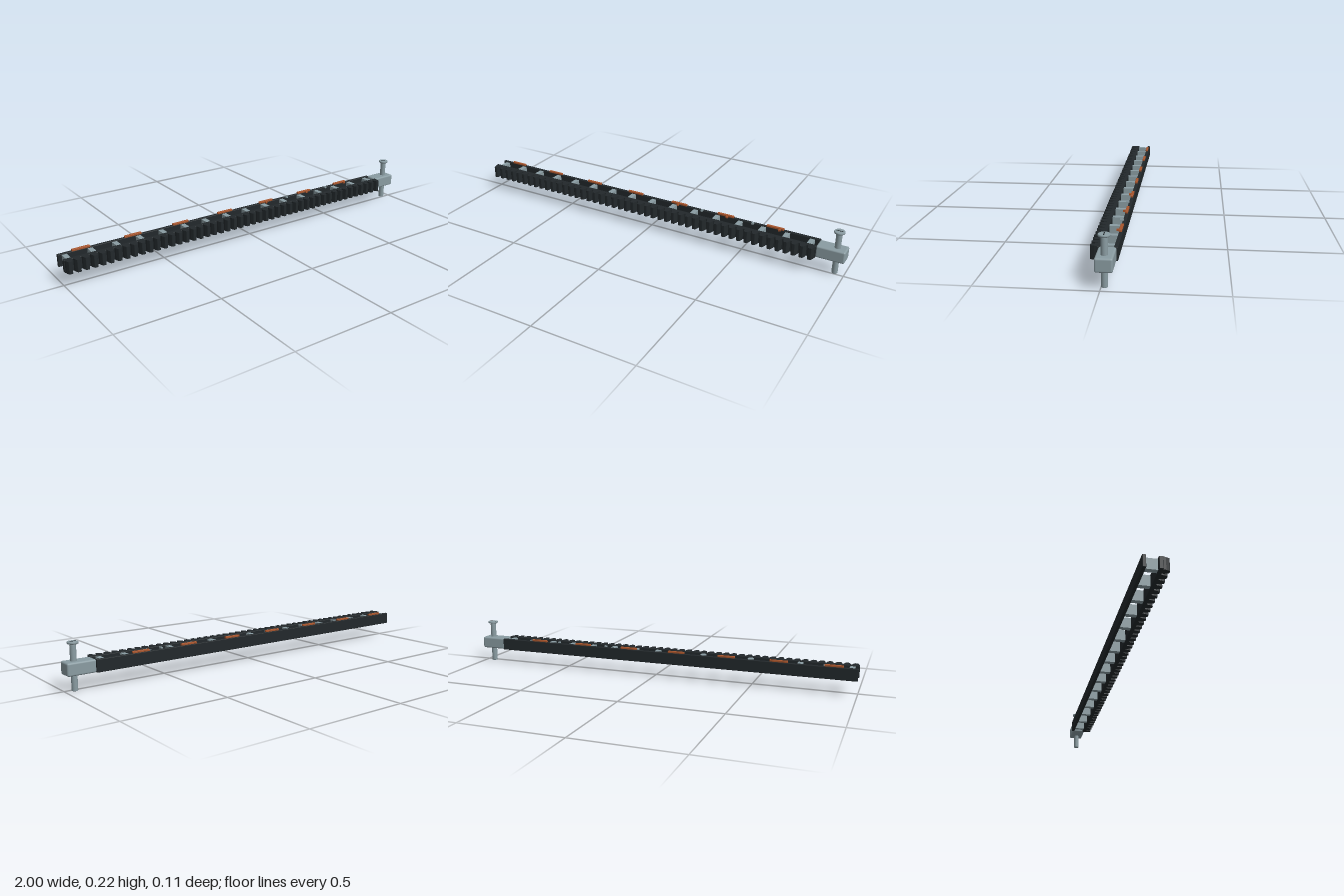
import * as THREE from 'three';
import { RoundedBoxGeometry } from 'three/addons/geometries/RoundedBoxGeometry.js';

const steel = new THREE.MeshStandardMaterial({ color: 0x8a9ca2 });
const dark = new THREE.MeshStandardMaterial({ color: 0x22282b });
const copper = new THREE.MeshStandardMaterial({ color: 0xa8552c });

const Y0 = 0.073, Y1 = 0.132, YM = (Y0 + Y1) / 2, H = Y1 - Y0;
const X0 = -1, X1 = 0.868;

export function createModel() {
  const model = new THREE.Group();

  const add = (name, geometry, material, x = 0, y = 0, z = 0) => {
    const mesh = new THREE.Mesh(geometry, material);
    mesh.name = name;
    mesh.position.set(x, y, z);
    model.add(mesh);
    return mesh;
  };
  // Box given by its minimum and maximum on each axis
  const box = (name, material, [xa, xb], [ya, yb], [za, zb], radius = 0) => {
    const size = [xb - xa, yb - ya, zb - za];
    const geometry = radius
      ? new RoundedBoxGeometry(...size, 3, radius)
      : new THREE.BoxGeometry(...size);
    return add(name, geometry, material, (xa + xb) / 2, (ya + yb) / 2, (za + zb) / 2);
  };

  // Two long rails
  box('backRail', dark, [X0, X1], [Y0, Y1], [-0.056, -0.04], 0.003);
  box('frontRail', dark, [X0, X1], [Y0, Y1], [0.011, 0.03], 0.003);

  // Tapered, blunt teeth along the front rail
  const tooth = new THREE.Shape();
  tooth.moveTo(-0.016, 0);
  tooth.lineTo(-0.014, 0.012);
  tooth.lineTo(-0.009, 0.026);
  tooth.quadraticCurveTo(-0.008, 0.029, -0.005, 0.029);
  tooth.lineTo(0.005, 0.029);
  tooth.quadraticCurveTo(0.008, 0.029, 0.009, 0.026);
  tooth.lineTo(0.014, 0.012);
  tooth.lineTo(0.016, 0);
  const toothGeometry = new THREE.ExtrudeGeometry(tooth, { depth: H, bevelEnabled: false, curveSegments: 3 });
  toothGeometry.rotateX(Math.PI / 2);
  const teeth = 48, pitch = (X1 - X0) / teeth;
  for (let i = 0; i < teeth; i++) {
    add('tooth', toothGeometry, dark, X0 + (i + 0.5) * pitch, Y1, 0.028);
  }

  // Cross spacers joining the rails
  for (let i = 0; i < 16; i++) {
    const x = -0.97 + i * 0.12;
    box('spacer', steel, [x - 0.012, x + 0.012], [Y0 + 0.004, Y1 - 0.004], [-0.043, 0.014]);
  }

  // Thin plates on top of the back rail
  for (let i = 0; i < 7; i++) {
    const x = -0.89 + i * 0.256;
    box('topPlate', copper, [x - 0.043, x + 0.043], [Y1 - 0.001, 0.141], [-0.052, -0.039], 0.002);
  }
  // Small tabs at the inner edge of the back rail
  for (let i = 0; i < 5; i++) {
    const x = 0.13 + i * 0.135;
    box('smallTab', i % 2 ? steel : copper, [x - 0.005, x + 0.005], [Y1 - 0.002, 0.138], [-0.044, -0.028]);
  }

  // End block
  box('endBlock', steel, [X1 - 0.003, 1], [Y0, Y1], [-0.05, 0.022], 0.008);

  // Headed pin through the end block
  const px = 0.955, pz = -0.013;
  const pinPoints = [[0, 0], [0.0125, 0], [0.014, 0.002], [0.014, 0.201], [0.012, 0.204], [0.012, 0.207]];
  const headPoints = [[0, 0.206], [0.021, 0.206], [0.024, 0.208], [0.025, 0.211], [0.025, 0.215], [0.023, 0.217], [0, 0.217]];
  const lathe = (points) => {
    const geometry = new THREE.LatheGeometry(points.map(([r, y]) => new THREE.Vector2(r, y)), 32);
    return geometry;
  };
  add('pin', lathe(pinPoints), steel, px, 0, pz);
  add('pinHead', lathe(headPoints), steel, px, 0, pz);
  box('pinSlot', dark, [px - 0.016, px + 0.016], [0.215, 0.218], [pz - 0.002, pz + 0.002]);

  return model;
}
